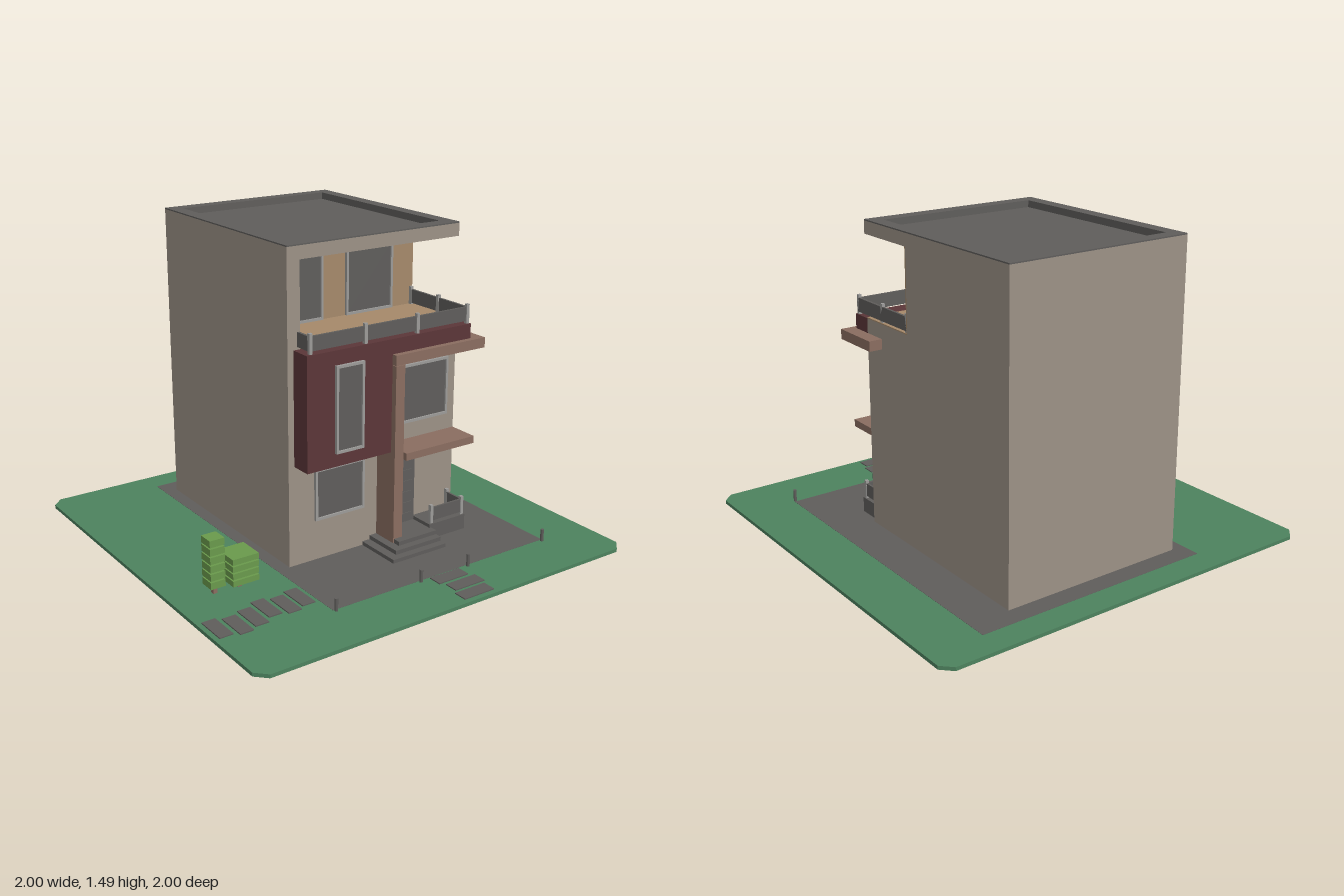
import * as THREE from 'three';

const mat = (name, color) => {
  const m = new THREE.MeshStandardMaterial({ color });
  m.name = name;
  return m;
};

export function createModel() {
  const root = new THREE.Group();
  root.name = 'house';
  const M = {
    wall: mat('beige wall', 0x9c9186),
    gray: mat('dark gray', 0x5f5d5b),
    grass: mat('grass green', 0x4d825e),
    maroon: mat('maroon cladding', 0x5b3638),
    brown: mat('brown frame', 0x8a6d60),
    tan: mat('tan wood', 0xa5896a),
    metal: mat('light metal', 0x9c9b99),
    leaf: mat('leaf green', 0x6a9a4c),
  };

  const add = (name, geo, m, parent = root) => {
    const mesh = new THREE.Mesh(geo, m);
    mesh.name = name;
    parent.add(mesh);
    return mesh;
  };
  const group = (name) => {
    const g = new THREE.Group();
    g.name = name;
    root.add(g);
    return g;
  };
  // Box given by its limits on each axis
  const box = (name, m, x0, x1, y0, y1, z0, z1, parent) => {
    const geo = new THREE.BoxGeometry(x1 - x0, y1 - y0, z1 - z0);
    geo.translate((x0 + x1) / 2, (y0 + y1) / 2, (z0 + z1) / 2);
    return add(name, geo, m, parent);
  };
  const poly = (pts) => pts.map(([x, y]) => new THREE.Vector2(x, y));
  const rect = (x0, x1, y0, y1) => poly([[x0, y0], [x1, y0], [x1, y1], [x0, y1]]);
  const extrude = (outer, hole, depth) => {
    const s = new THREE.Shape(outer);
    if (hole) s.holes.push(new THREE.Path(hole));
    return new THREE.ExtrudeGeometry(s, { depth, bevelEnabled: false });
  };
  // Horizontal plate with an optional hole, drawn in x and -z
  const plate = (name, m, outer, hole, y0, y1) =>
    add(name, extrude(outer, hole, y1 - y0).rotateX(-Math.PI / 2).translate(0, y0, 0), m);

  // Site
  const G = 0.017;
  const pave = rect(-0.47, 0.73, -0.73, 0.87);
  plate('lawn', M.grass, poly([[-0.95, -1], [0.95, -1], [1, -0.95], [1, 0.95],
    [0.95, 1], [-0.95, 1], [-1, 0.95], [-1, -0.95]]), pave, 0, G);
  plate('pavement', M.gray, pave, null, 0, G + 0.001);

  // Stepping stones: centre x and z, width, depth
  const stones = group('steppingStones');
  [[-0.945, 0.588], [-0.86, 0.608], [-0.775, 0.588], [-0.69, 0.555], [-0.605, 0.575], [-0.523, 0.555]]
    .map(([x, z]) => [x, z, 0.065, 0.15])
    .concat([[0.128, 0.772, 0.165, 0.065], [0.148, 0.858, 0.165, 0.065], [0.128, 0.942, 0.165, 0.065]])
    .forEach(([x, z, w, d]) =>
      box('steppingStone', M.gray, x - w / 2, x + w / 2, 0.01, 0.022, z - d / 2, z + d / 2, stones));

  // Garden lights along the front of the pavement
  for (const x of [-0.46, -0.005, 0.265, 0.722]) {
    const geo = new THREE.CylinderGeometry(0.008, 0.008, 0.06, 8);
    add('gardenLight', geo.translate(x, 0.046, 0.74), M.gray);
  }

  // Layered bushes on short trunks
  const bush = (cx, cz, w, d, n, top) => {
    const g = group('bush');
    const pitch = (top - 0.055) / n;
    box('trunk', M.brown, cx - 0.01, cx + 0.01, 0.01, top - 0.01, cz - 0.01, cz + 0.01, g);
    for (let i = 0; i < n; i++) {
      const y = 0.055 + i * pitch;
      box('foliage', M.leaf, cx - w / 2, cx + w / 2, y, y + pitch - 0.007, cz - d / 2, cz + d / 2, g);
    }
  };
  bush(-0.8, 0.31, 0.072, 0.075, 6, 0.29);
  bush(-0.68, 0.315, 0.13, 0.13, 4, 0.19);

  // House body: side outline with the balcony notch, plus the full left wall
  const L = -0.405, R = 0.53, B = -0.775, F = 0.297, N = -0.04, T = 1.45;
  const body = extrude(poly([[B, G], [F, G], [F, 1.03], [N, 1.03], [N, 1.42], [F, 1.42], [F, T], [B, T]]),
    null, R + 0.34);
  add('houseBody', body.rotateY(-Math.PI / 2).translate(R, 0, 0), M.wall);
  box('leftWall', M.wall, L, -0.34, G, T, B, F);
  box('balconyBackWall', M.tan, -0.34, R, 1.03, 1.42, N, N + 0.006);
  box('balconyFloor', M.tan, -0.34, R, 1.03, 1.035, N, F);

  // Sunken roof with a parapet
  const outer = rect(L, R, -F, -B), inner = rect(-0.34, 0.467, -0.23, 0.712);
  const middle = rect(-0.36, 0.487, -0.25, 0.732);
  plate('parapet', M.wall, outer, middle, T, 1.48);
  plate('parapetLining', M.gray, middle, inner, T, 1.48);
  plate('parapetCap', M.gray, outer, inner, 1.48, 1.486);
  plate('roofDeck', M.gray, inner, null, T - 0.01, T + 0.003);

  // Maroon projecting volume and its band under the balcony
  box('maroonVolume', M.maroon, -0.375, 0.08, 0.497, 1.03, F, 0.4);
  box('maroonBand', M.maroon, 0.08, R, 0.96, 1.03, F, 0.4);

  // Brown entrance frame and canopy
  box('framePost', M.brown, 0.08, 0.13, G, 0.91, F, 0.428);
  box('frameBeam', M.brown, 0.08, 0.595, 0.912, 0.96, F, 0.428);
  box('frameReturn', M.brown, R, 0.595, 0.912, 0.96, 0.175, F);
  box('doorCanopy', M.brown, 0.13, R, 0.46, 0.495, F, 0.45);

  // Windows
  const win = (x0, x1, y0, y1, z) => {
    const g = group('window'), t = 0.012;
    const frame = extrude(rect(x0, x1, y0, y1), rect(x0 + t, x1 - t, y0 + t, y1 - t), 0.014);
    add('windowFrame', frame.translate(0, 0, z), M.metal, g);
    box('glass', M.gray, x0 + t, x1 - t, y0 + t, y1 - t, z, z + 0.006, g);
  };
  win(-0.27, 0, 0.213, 0.46, F);
  win(-0.23, -0.08, 0.56, 0.963, 0.4);
  win(0.183, 0.48, 0.577, 0.86, F);
  win(-0.27, 0, 1.036, 1.36, N + 0.006);
  win(0.13, 0.4, 1.036, 1.36, N + 0.006);

  // Front door with horizontal grooves
  box('frontDoor', M.gray, 0.13, 0.295, 0.07, 0.46, F, F + 0.009);
  for (let i = 0; i < 6; i++)
    box('doorSlat', M.gray, 0.15, 0.278, 0.118 + i * 0.055, 0.122 + i * 0.055, F + 0.009, F + 0.013);

  // Steps and porch
  for (let i = 0; i < 3; i++)
    box('step', M.gray, i * 0.042, 0.305, G, 0.036 + i * 0.02, F, 0.535 - i * 0.035);
  box('porch', M.gray, 0.295, 0.51, G, 0.093, F, 0.428);

  // Railings: dark panels with light posts
  const rail = (name, y, panels, posts) => {
    const g = group(name);
    for (const [x0, x1, z0, z1] of panels)
      box('railPanel', M.gray, x0, x1, y + 0.012, y + 0.078, z0, z1, g);
    for (const [x, z] of posts)
      box('railPost', M.metal, x - 0.008, x + 0.008, y, y + 0.092, z - 0.008, z + 0.008, g);
  };
  rail('balconyRailing', 1.03,
    [[-0.35, 0.525, 0.375, 0.387], [0.513, 0.525, N, 0.387], [-0.355, -0.343, F, 0.387]],
    [[-0.349, 0.385], [-0.06, 0.385], [0.227, 0.385], [0.517, 0.385], [0.517, 0.18], [0.517, -0.024]]);
  rail('porchRailing', 0.092,
    [[0.31, 0.503, 0.408, 0.418], [0.493, 0.503, F, 0.418]],
    [[0.314, 0.413], [0.498, 0.413], [0.498, 0.306]]);

  return root;
}
